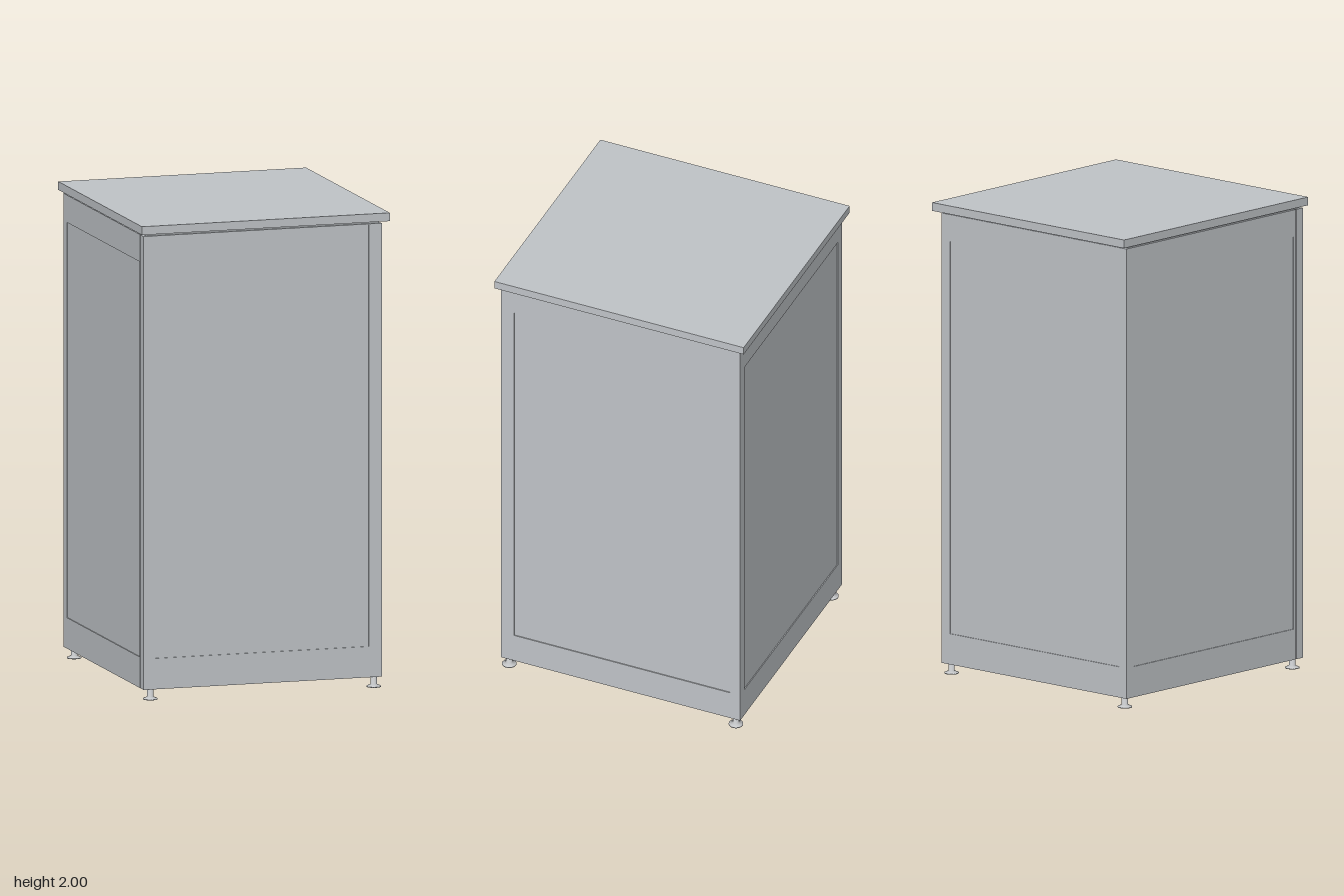
import * as THREE from 'three';

const BASE = 0.045, BODY_TOP = 1.955, RIM = 0.004;

export function createModel() {
  const root = new THREE.Group();
  root.name = 'cabinet';

  const steel = new THREE.MeshStandardMaterial({ color: 0xc0c4c8 });
  steel.name = 'brushed steel';
  const footSteel = new THREE.MeshStandardMaterial({ color: 0xc6c8ca });
  footSteel.name = 'foot steel';

  // Box given by its minimum and maximum corners
  function box(name, x0, x1, y0, y1, z0, z1) {
    const mesh = new THREE.Mesh(new THREE.BoxGeometry(x1 - x0, y1 - y0, z1 - z0), steel);
    mesh.position.set((x0 + x1) / 2, (y0 + y1) / 2, (z0 + z1) / 2);
    mesh.name = name;
    root.add(mesh);
  }

  // Thin raised rim around a shallow recessed panel, facing local +z
  function rim(name, x0, x1, hx0, hx1, hTop, position, turn) {
    const s = new THREE.Shape();
    s.moveTo(x0, BASE).lineTo(x1, BASE).lineTo(x1, BODY_TOP).lineTo(x0, BODY_TOP).closePath();
    const h = new THREE.Path();
    h.moveTo(hx0, 0.175).lineTo(hx0, hTop).lineTo(hx1, hTop).lineTo(hx1, 0.175).closePath();
    s.holes.push(h);
    const geo = new THREE.ExtrudeGeometry(s, { depth: RIM, bevelEnabled: false });
    const mesh = new THREE.Mesh(geo, steel);
    mesh.position.set(...position);
    mesh.rotation.y = turn;
    mesh.name = name;
    root.add(mesh);
  }

  // Worktop with a narrow shadow gap below it
  box('worktop', -0.54, 0.54, 1.965, 2, -0.566, 0.566);
  box('worktopNeck', -0.515, 0.5, 1.95, 1.967, -0.525, 0.535);

  // Carcass, and the front door separated by a seam on the right side
  box('carcass', -0.523, 0.507, BASE, BODY_TOP, -0.533, 0.502);
  box('doorHinge', -0.51, 0.511, BASE, BODY_TOP, 0.5, 0.512);
  box('frontDoor', -0.527, 0.511, BASE, BODY_TOP, 0.508, 0.544);

  // Recess rims on all four sides
  rim('frontRim', -0.527, 0.511, -0.48, 0.455, 1.95, [0, 0, 0.544], 0);
  rim('backRim', -0.511, 0.527, -0.465, 0.485, 1.84, [0, 0, -0.533], Math.PI);
  rim('leftRim', -0.502, 0.537, -0.49, 0.49, 1.84, [0.507, 0, 0], Math.PI / 2);
  rim('rightRim', -0.537, 0.502, -0.49, 0.49, 1.84, [-0.523, 0, 0], -Math.PI / 2);

  // Levelling feet: flared disc and slim stem
  const profile = [[0, 0], [0.03, 0], [0.03, 0.004], [0.013, 0.012], [0.013, 0.05], [0, 0.05]]
    .map(([r, y]) => new THREE.Vector2(r, y));
  const footGeo = new THREE.LatheGeometry(profile, 24);
  for (const x of [-0.49, 0.484]) {
    for (const z of [-0.506, 0.523]) {
      const foot = new THREE.Mesh(footGeo, footSteel);
      foot.position.set(x, 0, z);
      foot.name = 'levellingFoot';
      root.add(foot);
    }
  }

  return root;
}
